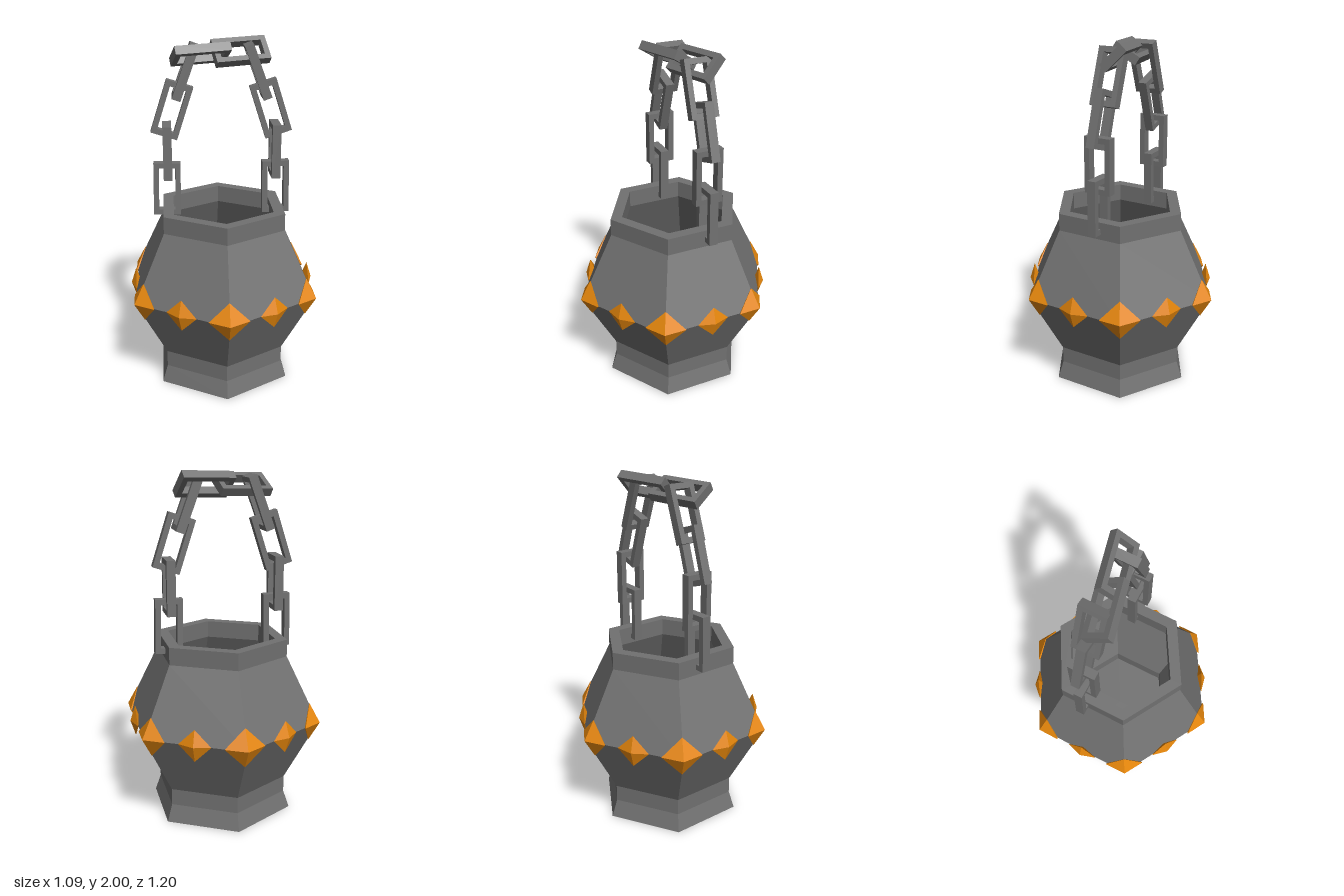
import * as THREE from 'three';

const iron = new THREE.MeshStandardMaterial({ color: 0x717171, flatShading: true });
const orange = new THREE.MeshStandardMaterial({ color: 0xe6870c, flatShading: true });
const deg = THREE.MathUtils.degToRad;

// Rectangular chain link: length along x, width along z, thickness along y
function linkGeometry(length = 0.313, width = 0.157, bar = 0.031, depth = 0.05) {
  const rect = (path, w, h) => path.moveTo(-w, -h).lineTo(w, -h).lineTo(w, h).lineTo(-w, h).closePath();
  const shape = rect(new THREE.Shape(), length / 2, width / 2);
  shape.holes.push(rect(new THREE.Path(), length / 2 - bar, width / 2 - bar));
  return new THREE.ExtrudeGeometry(shape, { depth, bevelEnabled: false })
    .translate(0, 0, -depth / 2)
    .rotateX(-Math.PI / 2);
}

export function createModel() {
  const model = new THREE.Group();
  const add = (parent, name, geometry, material) => {
    const mesh = new THREE.Mesh(geometry, material);
    mesh.name = name;
    parent.add(mesh);
    return mesh;
  };

  // Hollow hexagonal pot: up the outside, over the rim, down the inside
  const profile = [
    [0, 0], [0.43, 0], [0.395, 0.1], [0.395, 0.197], [0.59, 0.565], [0.395, 0.953], [0.395, 1.053],
    [0.325, 1.053], [0.325, 0.953], [0.52, 0.565], [0.325, 0.197], [0.325, 0.1], [0, 0.1],
  ].map(([r, y]) => new THREE.Vector2(r, y));
  add(model, 'pot', new THREE.LatheGeometry(profile, 6), iron);

  // Belt of gems: large on the corners, small on the middle of each side
  const gems = new THREE.Group();
  gems.name = 'gemBelt';
  model.add(gems);
  const gemGeometry = new THREE.OctahedronGeometry(1);
  for (let i = 0; i < 12; i++) {
    const corner = i % 2 === 0;
    const angle = (i * Math.PI) / 6;
    const radius = corner ? 0.536 : 0.515;
    const gem = add(gems, corner ? 'cornerGem' : 'sideGem', gemGeometry, orange);
    gem.position.set(Math.sin(angle) * radius, 0.567, Math.cos(angle) * radius);
    gem.rotation.y = angle;
    if (corner) gem.scale.set(0.114, 0.114, 0.064);
    else gem.scale.set(0.094, 0.093, 0.03);
  }

  // Chain handle
  const chain = new THREE.Group();
  chain.name = 'chainHandle';
  model.add(chain);
  const geometry = linkGeometry();
  const addLink = (name, position, roll, tilt, yaw = 0) => {
    const link = add(chain, name, geometry, iron);
    link.position.set(...position);
    link.rotation.set(deg(roll), deg(yaw), deg(tilt), 'YZX');
  };

  // Rising links on both sides: x, y, roll, inward lean
  const rising = [
    [0.317, 1.14, 90, 1],
    [0.31, 1.365, 0, 0],
    [0.28, 1.605, 90, 18],
    [0.202, 1.817, 0, 20],
  ];
  for (const side of [1, -1]) {
    for (const [x, y, roll, lean] of rising) {
      addLink(side > 0 ? 'leftLink' : 'rightLink', [side * x, y, -0.052], roll, 90 + side * lean);
    }
  }

  // Two twisted links across the top
  addLink('topLeftLink', [0.107, 1.921, -0.07], 45, 2, 13.5);
  addLink('topRightLink', [-0.117, 1.915, -0.017], -32, 2, 13.5);

  return model;
}
